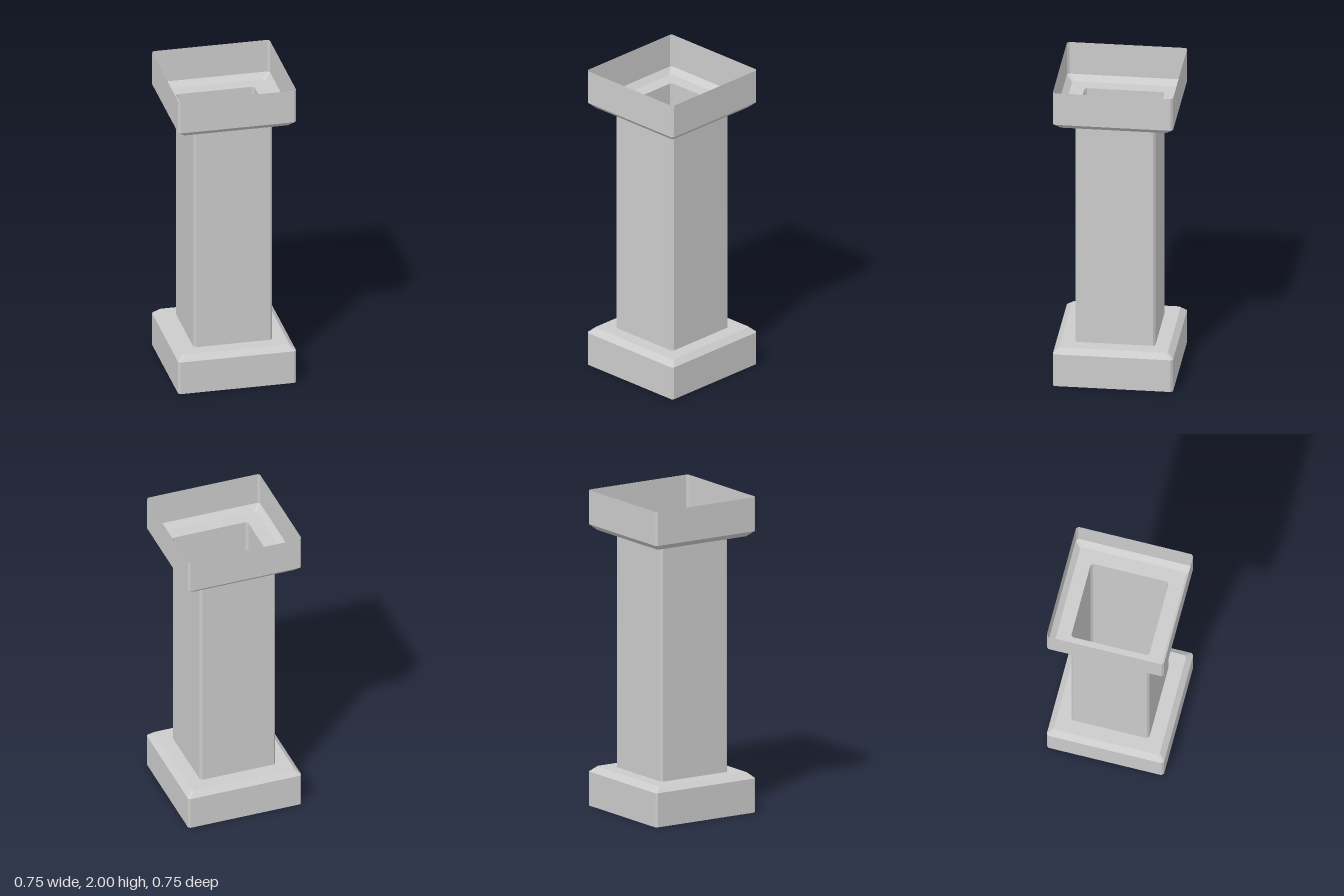
import * as THREE from 'three';

const material = new THREE.MeshStandardMaterial({
  color: 0xcccccc, flatShading: true, side: THREE.DoubleSide,
});

// Square ring of eight points with clipped corners, counter-clockwise from above
function ring([half, y], clip = 0.013) {
  const inner = half - clip;
  const points = [];
  for (let i = 0; i < 4; i++) {
    const c = Math.round(Math.cos(i * Math.PI / 2)), s = Math.round(Math.sin(i * Math.PI / 2));
    for (const z of [inner, -inner]) {
      points.push([half * c + z * s, y, z * c - half * s]);
    }
  }
  return points;
}

// Skin joining successive rings; profile is [half width, height] from bottom to top
function shell(name, profile) {
  const rings = profile.map((p) => ring(p));
  const positions = [];
  for (let r = 0; r < rings.length - 1; r++) {
    for (let i = 0; i < 8; i++) {
      const j = (i + 1) % 8;
      const a = rings[r][i], b = rings[r][j], c = rings[r + 1][j], d = rings[r + 1][i];
      positions.push(...a, ...b, ...c, ...a, ...c, ...d);
    }
  }
  const geometry = new THREE.BufferGeometry();
  geometry.setAttribute('position', new THREE.Float32BufferAttribute(positions, 3));
  geometry.computeVertexNormals();
  const mesh = new THREE.Mesh(geometry, material);
  mesh.name = name;
  return mesh;
}

export function createModel() {
  const group = new THREE.Group();
  group.name = 'squareColumn';

  // Plinth: open below, bevelled shoulder, ledge running in to the shaft
  const plinth = [[0.374, 0], [0.374, 0.216], [0.338, 0.25], [0.249, 0.25]];
  // Capital: the plinth mirrored top to bottom, open above
  const capital = plinth.map(([half, y]) => [half, 2 - y]).reverse();

  group.add(shell('plinth', plinth));
  group.add(shell('shaft', [[0.249, 0.25], [0.249, 1.75]]));
  group.add(shell('capital', capital));
  return group;
}
